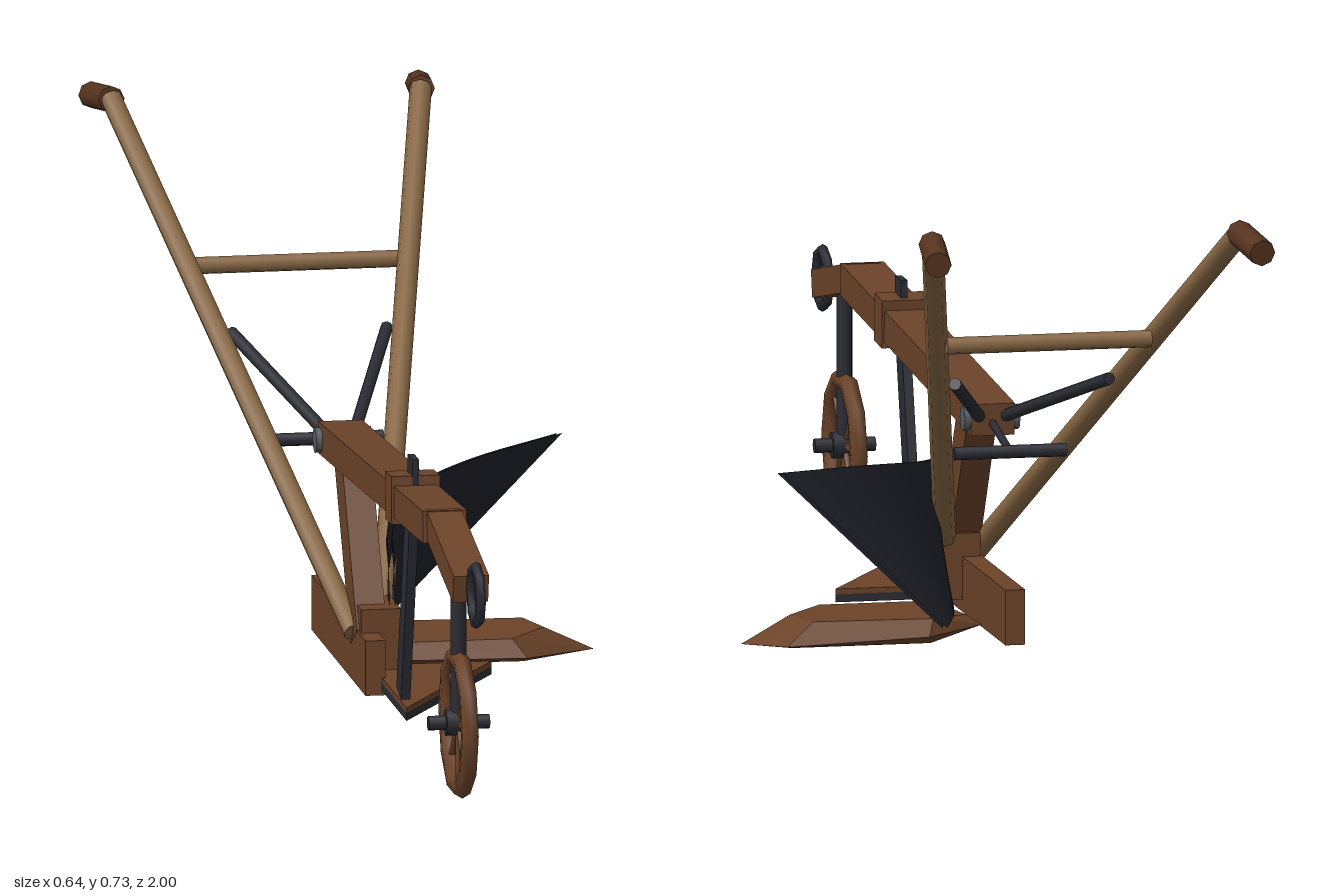
import * as THREE from 'three';
import { ConvexGeometry } from 'three/addons/geometries/ConvexGeometry.js';
import { ParametricGeometry } from 'three/addons/geometries/ParametricGeometry.js';

const CX = -0.058; // centre line of the beam

function material(name, color, extra = {}) {
  const m = new THREE.MeshStandardMaterial({ color, ...extra });
  m.name = name;
  return m;
}

export function createModel() {
  const model = new THREE.Group();
  model.name = 'plough';
  const wood = material('brownWood', 0x6b4329);
  const paleWood = material('paleWood', 0x876744);
  const gripWood = material('darkWood', 0x573420);
  const iron = material('iron', 0x2b2c34);
  const steel = material('blackenedSteel', 0x20212a, { side: THREE.DoubleSide });
  const boltMetal = material('boltMetal', 0x565c62);

  const V = (x, y, z) => new THREE.Vector3(x, y, z);

  function add(name, geometry, mat, x = 0, y = 0, z = 0) {
    const mesh = new THREE.Mesh(geometry, mat);
    mesh.name = name;
    mesh.position.set(x, y, z);
    model.add(mesh);
    return mesh;
  }
  function box(name, mat, w, h, d, x, y, z) {
    return add(name, new THREE.BoxGeometry(w, h, d), mat, x, y, z);
  }
  // Lay a shape whose length runs along z between two points
  function between(name, geometry, mat, a, b) {
    const mid = a.clone().lerp(b, 0.5);
    const mesh = add(name, geometry, mat, mid.x, mid.y, mid.z);
    mesh.lookAt(b);
    return mesh;
  }
  function bar(name, mat, a, b, w, h) {
    return between(name, new THREE.BoxGeometry(w, h, a.distanceTo(b)), mat, a, b);
  }
  function rod(name, mat, a, b, r0, r1 = r0, sides = 8) {
    const g = new THREE.CylinderGeometry(r1, r0, a.distanceTo(b), sides).rotateX(Math.PI / 2);
    return between(name, g, mat, a, b);
  }

  // Beam: long rear part and a drooping nose
  bar('beam', wood, V(CX, 0.33, -0.245), V(CX, 0.388, 0.675), 0.066, 0.048);
  bar('beamNose', wood, V(CX, 0.392, 0.66), V(CX, 0.342, 0.905), 0.053, 0.042);
  box('coulterCollar', wood, 0.073, 0.072, 0.055, CX, 0.373, 0.392).rotation.x = -0.06;

  // Hitch ring
  const ring = add('hitchRing', new THREE.TorusGeometry(0.043, 0.008, 6, 8), iron, CX, 0.342, 0.95);
  ring.rotation.y = Math.PI / 2;

  // Coulter blade and the stub above its collar
  bar('coulterBlade', iron, V(CX, 0.35, 0.387), V(CX, 0.058, 0.31), 0.014, 0.042);
  box('coulterStub', iron, 0.01, 0.04, 0.042, CX, 0.415, 0.398);

  // Gauge wheel on a post
  const wheelY = 0.117, wheelZ = 0.796;
  rod('wheelPost', iron, V(CX, wheelY, wheelZ), V(CX, 0.37, wheelZ), 0.012);
  rod('wheelAxle', iron, V(CX - 0.046, wheelY, wheelZ), V(CX + 0.046, wheelY, wheelZ), 0.011);
  const rim = add('wheelRim', new THREE.TorusGeometry(0.1, 0.014, 6, 10), wood, CX, wheelY, wheelZ);
  rim.rotation.y = Math.PI / 2;
  for (let i = 0; i < 8; i++) {
    const a = (i * Math.PI) / 4;
    const end = V(CX, wheelY + Math.sin(a) * 0.095, wheelZ + Math.cos(a) * 0.095);
    rod('wheelSpoke', wood, V(CX, wheelY, wheelZ), end, 0.005, 0.005, 5);
  }
  rod('wheelHub', iron, V(CX - 0.02, wheelY, wheelZ), V(CX + 0.02, wheelY, wheelZ), 0.02);

  // Handles, grips, braces and bolts, mirrored about the beam
  for (const s of [-1, 1]) {
    const top = V(CX + s * 0.233, 0.713, -0.9);
    rod('handle', paleWood, V(CX + s * 0.02, 0.085, -0.005), top, 0.0165);
    rod('grip', gripWood, V(CX + s * 0.233, 0.712, -0.895), V(CX + s * 0.246, 0.698, -0.998), 0.02);
    rod('handleBrace', iron, V(CX + s * 0.02, 0.335, -0.24), V(CX + s * 0.117, 0.434, -0.52), 0.0095);
    rod('beamBolt', boltMetal, V(CX + s * 0.028, 0.33, -0.225), V(CX + s * 0.042, 0.33, -0.225), 0.019);
  }
  rod('handleRung', paleWood, V(CX - 0.155, 0.512, -0.635), V(CX + 0.155, 0.512, -0.635), 0.013);
  rod('ironRung', iron, V(CX - 0.085, 0.302, -0.365), V(CX + 0.085, 0.302, -0.365), 0.01);
  rod('rungLink', iron, V(CX, 0.325, -0.24), V(CX, 0.302, -0.365), 0.006);

  // Standard, frog and landside
  bar('standard', wood, V(CX, 0.08, 0.005), V(CX, 0.33, -0.14), 0.045, 0.065);
  box('frog', wood, 0.06, 0.1, 0.12, -0.047, 0.08, -0.01);
  box('landside', wood, 0.03, 0.083, 0.475, -0.065, 0.053, -0.132);

  // Share: wooden-brown face on an iron underside
  function shareLayer(name, mat, depth, y) {
    const shape = new THREE.Shape([[-0.055, 0.32], [-0.055, 0.015], [0.125, 0.015]]
      .map(([x, z]) => new THREE.Vector2(x, -z)));
    const g = new THREE.ExtrudeGeometry(shape, { depth, bevelEnabled: false }).rotateX(-Math.PI / 2);
    add(name, g, mat, 0, y, 0);
  }
  shareLayer('shareUnderside', iron, 0.012, 0.018);
  shareLayer('shareFace', wood, 0.008, 0.03);

  // Low sloping wing beside the mouldboard
  const wing = [
    V(0.01, 0.04, -0.125), V(0.18, 0.04, -0.125), V(0.24, 0.04, -0.2),
    V(0.22, 0.04, -0.27), V(0.04, 0.04, -0.28), V(-0.02, 0.036, -0.23),
    V(0, 0.016, -0.11), V(0.2, 0.014, -0.105), V(0.318, 0.001, -0.215),
    V(0.265, 0.008, -0.297), V(0.05, 0.016, -0.3), V(-0.045, 0.02, -0.23),
    V(0.0, 0, -0.16), V(0.2, 0, -0.15), V(0.25, 0, -0.26), V(0.04, 0, -0.26),
  ];
  add('furrowWing', new ConvexGeometry(wing), wood);

  // Mouldboard: hollow surface swept between its lower and upper edges
  const lower = new THREE.CatmullRomCurve3([
    V(-0.02, 0.04, -0.01), V(-0.012, 0.04, -0.13), V(0.01, 0.04, -0.25), V(0.045, 0.04, -0.365)]);
  const upper = new THREE.CatmullRomCurve3([
    V(-0.026, 0.225, 0.015), V(0, 0.247, -0.09), V(0.05, 0.262, -0.195),
    V(0.15, 0.277, -0.295), V(0.303, 0.289, -0.403)]);
  const sheet = (offset) => (u, v, target) => {
    const a = lower.getPoint(u), b = upper.getPoint(u);
    target.lerpVectors(a, b, v);
    target.x = a.x + (b.x - a.x) * Math.pow(v, 1 + 0.25 * (1 - u)) - offset;
    target.z += 0.03 * Math.sin(Math.PI * v) * (1 - u);
  };
  add('mouldboard', new ParametricGeometry(sheet(0), 20, 12), steel);
  add('mouldboardBack', new ParametricGeometry(sheet(0.008), 20, 12), steel);

  return model;
}
